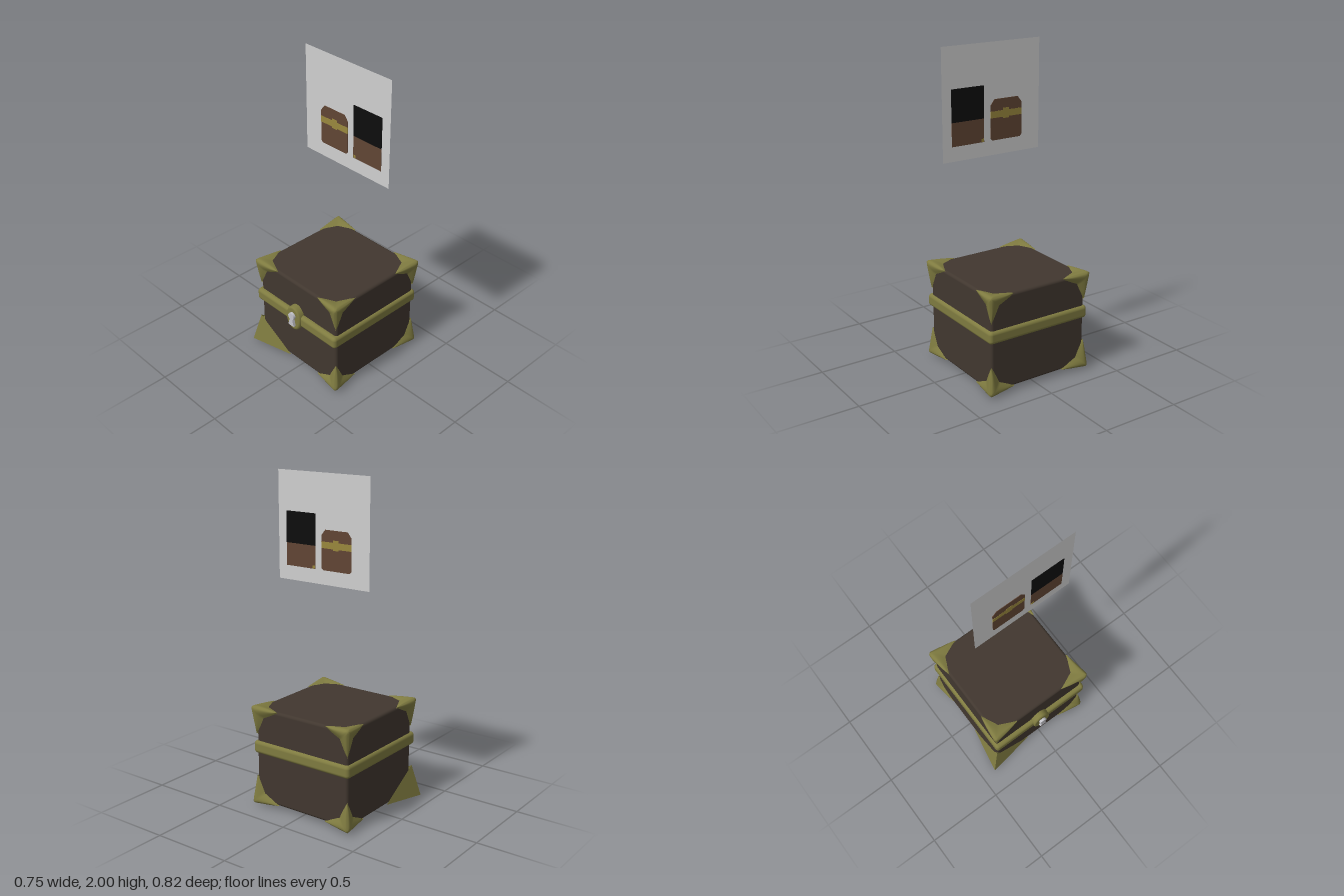
import * as THREE from 'three';
import { mergeGeometries, mergeVertices } from 'three/addons/utils/BufferGeometryUtils.js';
import { RoundedBoxGeometry } from 'three/addons/geometries/RoundedBoxGeometry.js';

const mat = (name, color, side = THREE.FrontSide) => {
  const m = new THREE.MeshStandardMaterial({ color, side });
  m.name = name;
  return m;
};

const CENTER = [0.015, 0.328, -0.015];
const HALF = [0.33, 0.298, 0.335];

// One half of a bracket leaf: runs along axis a, spreads over axis b
function leaf(signs, a, b, c, flip) {
  const NS = 10, NR = 6, L = 0.165, M = 0.06, R = 0.02;
  const lift = [0.031, 0.018, 0.026];
  const pos = [], idx = [];
  for (let i = 0; i <= NS; i++) for (let j = 0; j <= NR; j++) {
    const s = i / NS, r = j / NR;
    const p = [0, 0, 0];
    p[a] = THREE.MathUtils.lerp(r * M, L, s);
    p[b] = r * M * Math.pow(1 - s, 0.8);
    // round off the edges and the corner
    const q = p.map(v => Math.max(R - v, 0));
    const len = Math.hypot(...q);
    const rise = (1 - 0.75 * s) * (1 - r ** 4);
    const w = p.map((v, k) => {
      let d = q[k] > 0 ? R - q[k] / len * R : v;
      d -= lift[k] * rise;
      if (k === c) d += 0.004 * r ** 4;
      return CENTER[k] + signs[k] * (HALF[k] - d);
    });
    pos.push(...w);
    if (i < NS && j < NR) {
      const A = i * (NR + 1) + j, B = A + NR + 1;
      idx.push(...(flip ? [A, B + 1, B, A, A + 1, B + 1] : [A, B, B + 1, A, B + 1, A + 1]));
    }
  }
  const g = new THREE.BufferGeometry();
  g.setAttribute('position', new THREE.Float32BufferAttribute(pos, 3));
  g.setIndex(idx);
  return g;
}

function bracketGeometry(signs) {
  const odd = signs[0] * signs[1] * signs[2] < 0;
  const parts = [];
  for (let a = 0; a < 3; a++) {
    const b = (a + 1) % 3, c = (a + 2) % 3;
    parts.push(leaf(signs, a, b, c, odd), leaf(signs, a, c, b, !odd));
  }
  const g = mergeVertices(mergeGeometries(parts), 1e-4);
  g.computeVertexNormals();
  return g;
}

export function createModel() {
  const root = new THREE.Group();
  root.name = 'chestWithCard';
  const wood = mat('dark wood', 0x41372f);
  const gold = mat('old gold', 0x7f7b40, THREE.DoubleSide);
  const silver = mat('silver', 0xc2c2c8);
  const grey = mat('card grey', 0xcfcfcf, THREE.DoubleSide);
  const black = mat('black', 0x0d0d0d);
  const brown = mat('picture brown', 0x614534);
  const yellow = mat('picture gold', 0x99873d);

  const add = (name, geo, material, x = 0, y = 0, z = 0, parent = root) => {
    const m = new THREE.Mesh(geo, material);
    m.name = name;
    m.position.set(x, y, z);
    parent.add(m);
    return m;
  };

  // Chest body and the band around the lid seam
  add('chestBody', new RoundedBoxGeometry(HALF[0] * 2, HALF[1] * 2, HALF[2] * 2, 3, 0.018), wood, ...CENTER);
  add('band', new RoundedBoxGeometry(0.705, 0.08, 0.702, 4, 0.022), gold, 0.009, 0.38, -0.015);

  // Eight pointed corner brackets
  for (const x of [-1, 1]) for (const y of [-1, 1]) for (const z of [-1, 1])
    add('cornerBracket', bracketGeometry([x, y, z]), gold);

  // Bent spike on the rear bottom corner
  const apex = [-0.362, 0, -0.406], tipX = [-0.06, 0.029, -0.352], tipZ = [-0.316, 0.029, -0.09];
  const under = [-0.25, 0.029, -0.29], top = [-0.325, 0.2, -0.358];
  const spike = new THREE.BufferGeometry();
  spike.setAttribute('position', new THREE.Float32BufferAttribute([
    apex, tipX, under, apex, under, tipZ, apex, tipZ, top, apex, top, tipX].flat(), 3));
  spike.computeVertexNormals();
  add('bentSpike', spike, gold);

  // Oval lock on the right side
  const lock = new THREE.Group();
  lock.name = 'lock';
  lock.position.set(-0.31, 0.385, -0.017);
  lock.rotation.y = -Math.PI / 2;
  root.add(lock);
  const disc = new THREE.LatheGeometry([[0.062, 0], [0.062, 0.034], [0.058, 0.043], [0.05, 0.046], [0, 0.042]]
    .map(p => new THREE.Vector2(...p)), 32);
  disc.rotateX(Math.PI / 2);
  disc.scale(1, 1.37, 1);
  add('lockPlate', disc, gold, 0, 0, 0, lock);

  // Raised keyhole piece
  const key = new THREE.Shape();
  key.moveTo(-0.024, -0.045);
  key.lineTo(0.024, -0.045);
  key.lineTo(0.012, 0.002);
  key.absarc(0, 0.022, 0.024, -Math.PI / 3, Math.PI * 4 / 3, false);
  key.closePath();
  add('keyhole', new THREE.ExtrudeGeometry(key, { depth: 0.025, bevelEnabled: false, curveSegments: 10 }),
    silver, 0, 0, 0.036, lock);

  // Upright floating card
  const card = new THREE.PlaneGeometry(0.66, 0.655);
  card.rotateY(Math.PI / 2);
  add('card', card, grey, 0, 1.6725, 0.08);

  // Flat pictures showing on both faces of the card
  const patch = (name, m, z0, z1, y0, y1, t = 0.006) =>
    add(name, new THREE.BoxGeometry(t, y1 - y0, z1 - z0), m, 0, (y0 + y1) / 2, (z0 + z1) / 2);
  patch('blackPatch', black, 0.135, 0.35, 1.57, 1.76);
  patch('lowerBrownPatch', brown, 0.135, 0.35, 1.432, 1.57);
  patch('cornerFleck', yellow, 0.137, 0.155, 1.434, 1.452, 0.008);
  const r = 0.025;
  const chest = new THREE.Shape();
  chest.moveTo(-0.1075, -0.12 + r / 2);
  for (const [x, y] of [[-0.095, -0.12], [0.095, -0.12], [0.1075, -0.1075], [0.1075, 0.085],
    [0.08, 0.12], [-0.08, 0.12], [-0.1075, 0.085]]) chest.lineTo(x, y);
  const chestGeo = new THREE.ExtrudeGeometry(chest, { depth: 0.006, bevelEnabled: false });
  chestGeo.translate(0, 0, -0.003);
  chestGeo.rotateY(Math.PI / 2);
  add('chestPicture', chestGeo, brown, 0, 1.552, -0.0175);
  patch('chestPictureBand', yellow, -0.125, 0.09, 1.563, 1.602, 0.008);
  patch('chestPictureLock', yellow, -0.035, 0.005, 1.555, 1.615, 0.009);

  return root;
}
